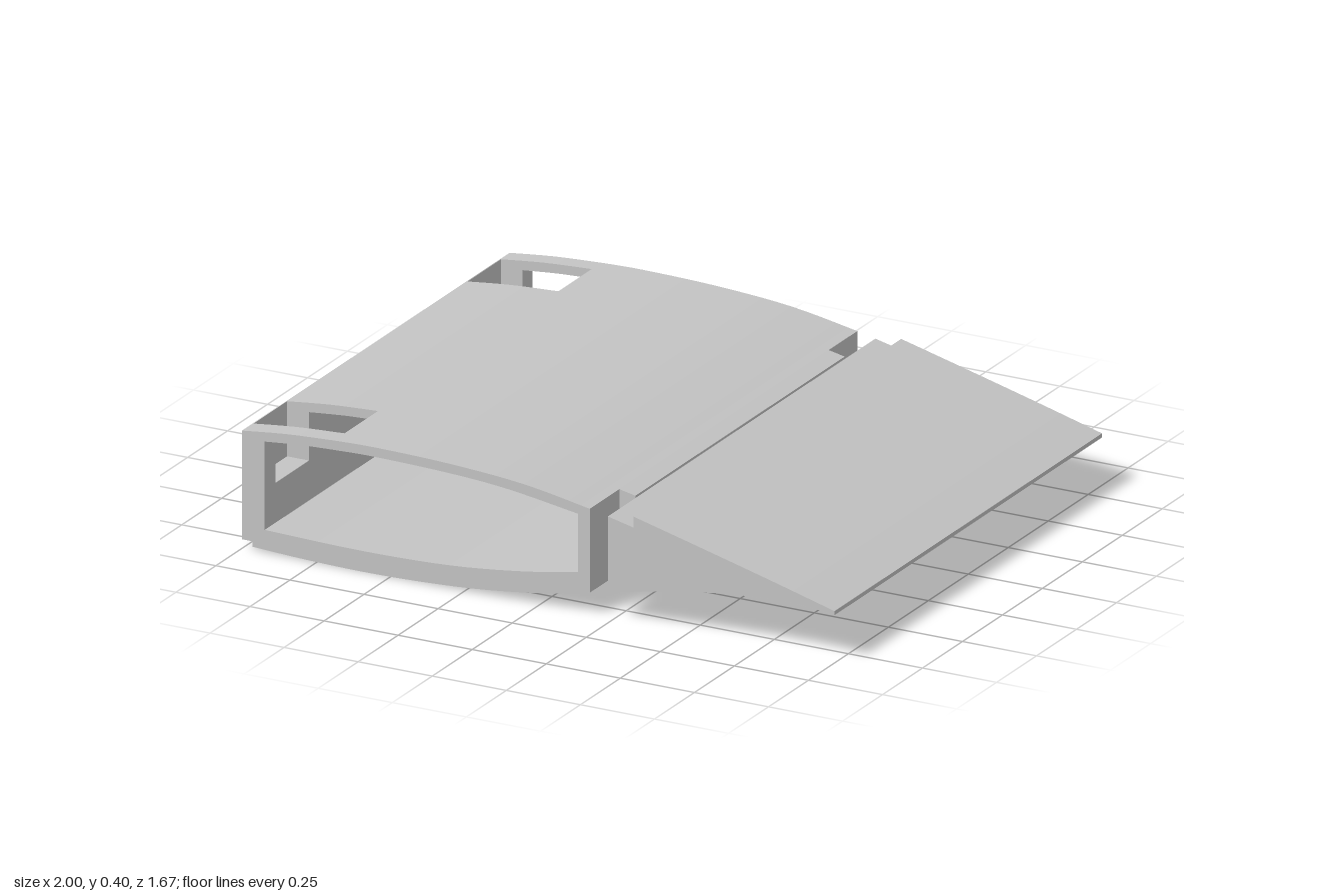
import * as THREE from 'three';

// Smooth run of points through a few [x, y] stations
const curve = (pts, n = 20) =>
  new THREE.SplineCurve(pts.map(([x, y]) => new THREE.Vector2(x, y))).getPoints(n);
const line = (...pts) => pts.map(([x, y]) => new THREE.Vector2(x, y));

export function createModel() {
  const group = new THREE.Group();
  const grey = new THREE.MeshStandardMaterial({ color: 0xc4c4c4 });
  grey.name = 'plain grey';

  // Extrude a side profile between two z positions; the outline is made
  // counter-clockwise so that the walls of a hole face inwards
  function slab(name, outline, z0, z1, hole) {
    const ccw = THREE.ShapeUtils.isClockWise(outline) ? outline.slice().reverse() : outline;
    const shape = new THREE.Shape(ccw);
    if (hole) shape.holes.push(new THREE.Path(hole));
    const geo = new THREE.ExtrudeGeometry(shape, { depth: z1 - z0, bevelEnabled: false });
    geo.translate(0, 0, z0);
    const mesh = new THREE.Mesh(geo, grey);
    mesh.name = name;
    group.add(mesh);
  }

  const END = 0.837;
  const spar = 0.174; // rear of the box section

  // Airfoil runs, split at the rear edge of the pockets
  const upperFront = curve([[-1, 0.375], [-0.85, 0.391], [-0.69, 0.4]], 8);
  const upperRear = curve([[-0.69, 0.4], [-0.55, 0.403], [-0.3, 0.397], [-0.05, 0.378], [spar, 0.34]]);
  const lower = curve([[spar, 0.073], [0, 0.04], [-0.2, 0.016], [-0.4, 0.004], [-0.6, 0], [-0.8, 0.004], [-0.965, 0.012]]);
  const nose = line([-0.965, 0.029], [-1, 0.029]);
  const innerFront = curve([[-0.923, 0.354], [-0.8, 0.365], [-0.69, 0.37]], 6);
  const innerRear = curve([[-0.69, 0.37], [-0.55, 0.373], [-0.3, 0.367], [-0.1, 0.352], [0.134, 0.317]]);
  const innerLower = curve([[0.134, 0.132], [-0.05, 0.1], [-0.3, 0.074], [-0.6, 0.066], [-0.923, 0.073]]);

  const outline = [...lower, ...nose, ...upperFront, ...upperRear.slice(1)];
  const cavity = [...innerFront, ...innerRear.slice(1), ...innerLower];

  // Section with the top skin and the upper part of the nose wall cut away
  const sill = 0.2;
  const cutOutline = [
    ...lower, ...nose, ...line([-1, sill], [-0.923, sill]),
    ...innerLower.slice().reverse(),
    ...innerRear.slice().reverse(),
    ...upperRear,
  ];

  // Main box, alternating plain and pocketed sections
  const stations = [-END, -0.777, -0.568, 0.56, 0.77, END];
  for (let i = 0; i < 5; i++) {
    const [a, b] = [stations[i], stations[i + 1]];
    if (i % 2 === 0) slab('boxSection', outline, a, b, cavity);
    else {
      slab('pocketSection', cutOutline, a, b);
      // thin skin closing the nose in front of the pocket
      slab('noseSkin', line([-1, sill], [-0.997, sill], [-0.997, 0.375], [-1, 0.375]), a, b);
    }
  }

  // Tongue behind the spar, shorter than the span so that it leaves end notches
  slab('rearTongue', line([spar, 0.073], [0.228, 0.084], [0.228, 0.329], [spar, 0.34]), -0.658, 0.652);

  // Thin hinge strip bridging the slit along the underside
  slab('hingeStrip', line([0.18, 0.072], [0.28, 0.094], [0.28, 0.1], [0.18, 0.08]), -0.46, 0.46);

  // Trailing edge flap with a stepped top and hollowed underside
  slab('trailingFlap', [
    ...line([0.235, 0.327], [0.235, 0.088]),
    ...curve([[0.26, 0.093], [0.42, 0.122], [0.6, 0.149], [0.75, 0.162], [0.88, 0.164], [1, 0.152]]),
    ...curve([[1, 0.165], [0.8, 0.219], [0.55, 0.284], [0.322, 0.342]], 8),
    ...line([0.322, 0.307]),
  ], -END, END);

  return group;
}
